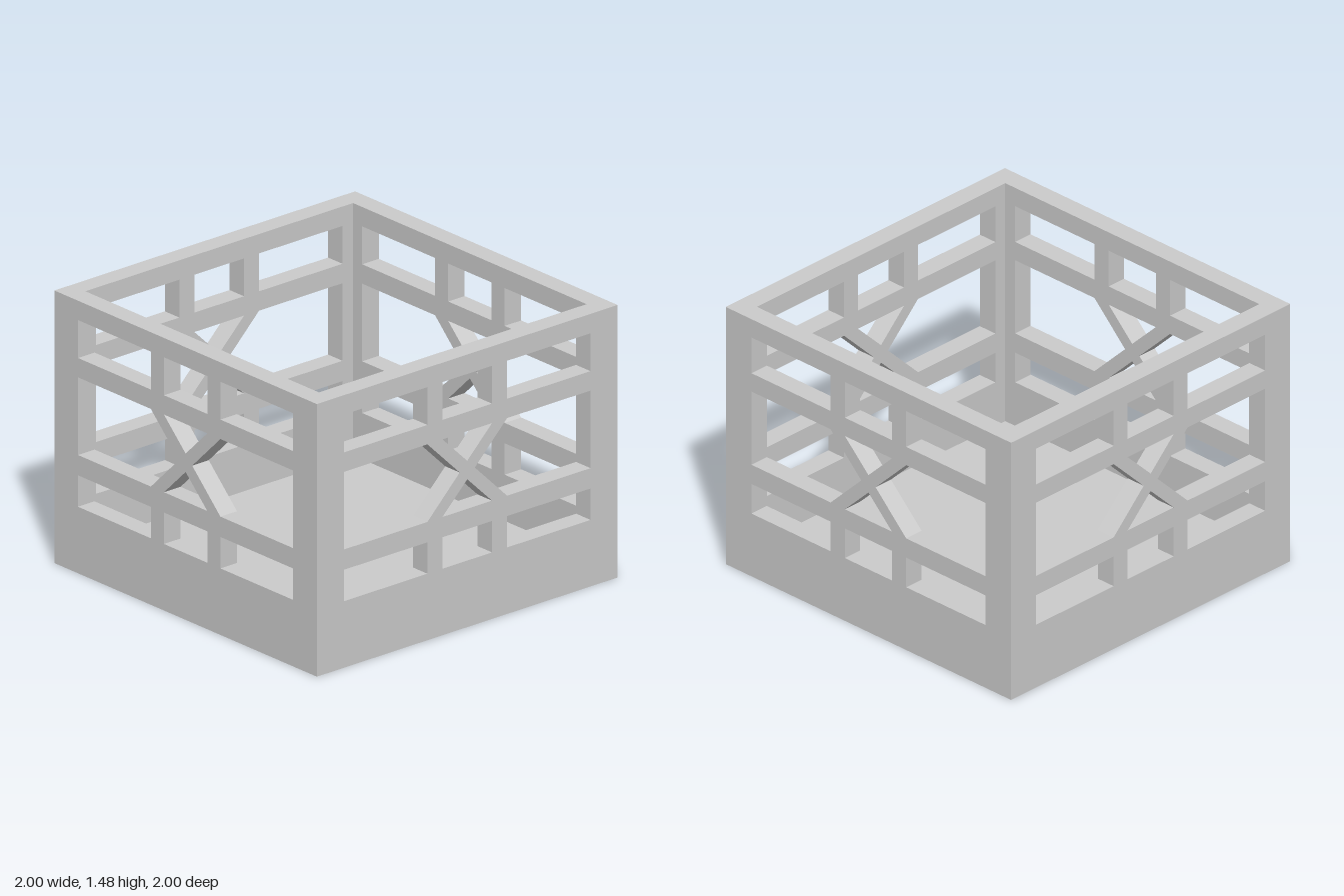
import * as THREE from 'three';

const HALF = 1, WALL = 0.11, HEIGHT = 1.475, INNER = HALF - WALL;

function polygon(points, Type = THREE.Path) {
  return new Type(points.map(([x, y]) => new THREE.Vector2(x, y)));
}

const rect = (x0, x1, y0, y1) => [[x0, y0], [x1, y0], [x1, y1], [x0, y1]];

// One lattice wall, mitred at both ends, facing +z
function wallGeometry() {
  const shape = polygon(rect(-HALF, HALF, 0, HEIGHT), THREE.Shape);
  const openings = [];

  // Top and bottom rows: three windows separated by two posts
  for (const [y0, y1] of [[0.36, 0.53], [1.165, 1.37]]) {
    openings.push(rect(-0.82, -0.265, y0, y1), rect(-0.165, 0.165, y0, y1), rect(0.265, 0.82, y0, y1));
  }

  // Middle row: four openings around the crossed braces
  const y0 = 0.64, y1 = 1.06, mid = 0.85;
  for (const s of [-1, 1]) {
    openings.push([[s * 0.82, y0], [s * 0.265, y0], [s * 0.05, mid], [s * 0.265, y1], [s * 0.82, y1]]);
  }
  openings.push([[-0.165, y1], [0, 0.9], [0.165, y1]], [[-0.165, y0], [0, 0.8], [0.165, y0]]);
  shape.holes = openings.map((points) => polygon(points));

  const geometry = new THREE.ExtrudeGeometry(shape, { depth: WALL, bevelEnabled: false });
  geometry.translate(0, 0, INNER);

  // Pull the inner end corners in to make the mitre
  const pos = geometry.attributes.position;
  for (let i = 0; i < pos.count; i++) {
    if (pos.getZ(i) < INNER + 0.01 && Math.abs(pos.getX(i)) > 0.95) {
      pos.setX(i, Math.sign(pos.getX(i)) * INNER);
    }
  }
  geometry.computeVertexNormals();
  return geometry;
}

export function createModel() {
  const model = new THREE.Group();
  model.name = 'latticeBasket';
  const material = new THREE.MeshStandardMaterial({ color: 0xcccccc });

  // Four identical walls around the centre
  const geometry = wallGeometry();
  ['frontWall', 'leftWall', 'backWall', 'rightWall'].forEach((name, i) => {
    const wall = new THREE.Mesh(geometry, material);
    wall.name = name;
    wall.rotation.y = i * Math.PI / 2;
    model.add(wall);
  });

  // Floor slab between the walls
  const floor = new THREE.Mesh(new THREE.BoxGeometry(2 * INNER, WALL, 2 * INNER), material);
  floor.name = 'floor';
  floor.position.y = WALL / 2;
  model.add(floor);

  return model;
}
